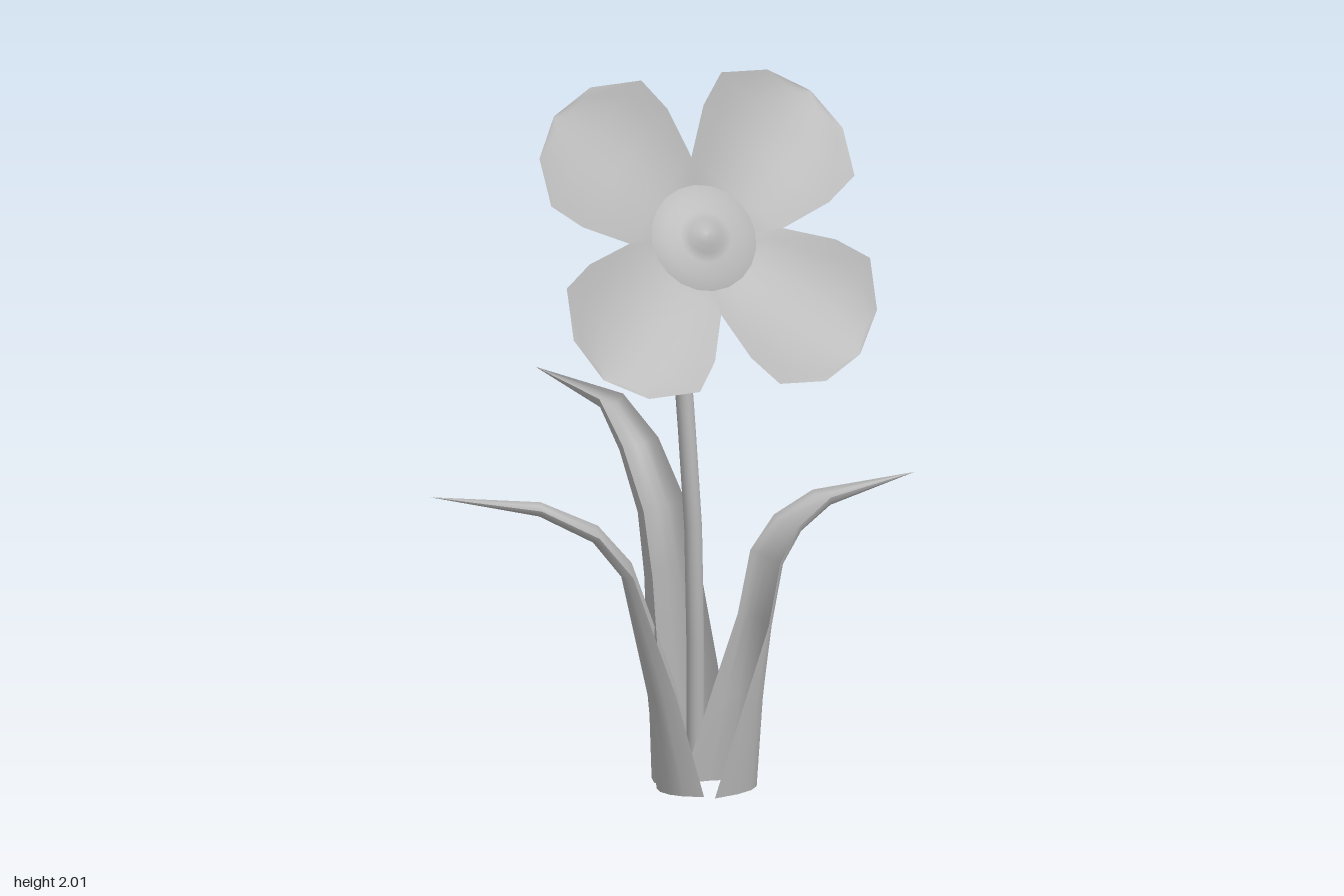
import * as THREE from 'three';

const grey = new THREE.MeshStandardMaterial({ color: 0xb0b0b0, side: THREE.DoubleSide });
grey.name = 'plain grey';

// Skin a smooth surface through equal-length rows of points
function skin(name, rows, closed = false) {
  const n = rows[0].length, index = [];
  for (let i = 0; i < rows.length - 1; i++) {
    for (let j = 0; j < (closed ? n : n - 1); j++) {
      const k = (j + 1) % n;
      const a = i * n + j, b = i * n + k, c = a + n, d = b + n;
      index.push(a, b, d, a, d, c);
    }
  }
  const geometry = new THREE.BufferGeometry().setFromPoints(rows.flat());
  geometry.setIndex(index);
  geometry.computeVertexNormals();
  const mesh = new THREE.Mesh(geometry, grey);
  mesh.name = name;
  return mesh;
}

// Round rings in the x = 0.035 plane: [y, z, radius, angle of ring axis above +z]
function ringRows(rings, sides) {
  return rings.map(([y, z, r, deg]) => {
    const a = THREE.MathUtils.degToRad(deg);
    return Array.from({ length: sides }, (_, j) => {
      const t = (j / sides) * Math.PI * 2, up = r * Math.sin(t);
      return new THREE.Vector3(0.035 + r * Math.cos(t), y + up * Math.cos(a), z - up * Math.sin(a));
    });
  });
}

// Channelled leaf: spine rows [distance outward, height, half width, channel depth]
function leaf(name, base, tip, spine) {
  const dir = new THREE.Vector2(tip[0] - base[0], tip[1] - base[1]).normalize();
  const rows = spine.map(([s, y, half, depth], i) => {
    const p = spine[Math.max(i - 1, 0)], q = spine[Math.min(i + 1, spine.length - 1)];
    const normal = i === 0 ? new THREE.Vector2(-1, 0) : new THREE.Vector2(p[1] - q[1], q[0] - p[0]).normalize();
    return Array.from({ length: 9 }, (_, j) => {
      const t = j / 4 - 1, lift = depth * t * t;
      const out = s + normal.x * lift, side = half * Math.sin(t * Math.PI / 2);
      return new THREE.Vector3(
        base[0] + dir.x * out - dir.y * side,
        y + normal.y * lift,
        base[1] + dir.y * out + dir.x * side);
    });
  });
  return skin(name, rows);
}

// Petal lying along +x, cupped towards +z: [distance from centre, half width]
function petal() {
  const outline = [[0, 0], [0.08, 0.08], [0.163, 0.163], [0.3, 0.223], [0.407, 0.237], [0.51, 0.134], [0.545, 0]];
  const rows = outline.map(([u, half]) => Array.from({ length: 9 }, (_, j) => {
    const v = half * (j / 4 - 1);
    const dip = 0.03 * Math.max(0, 1 - u / 0.163);
    return new THREE.Vector3(u, v, 0.07 * u + 0.75 * v * v - dip);
  }));
  return skin('petal', rows);
}

export function createModel() {
  const model = new THREE.Group();
  model.name = 'flower';

  // Stem, bending over at the top and flaring into the back of the bloom
  model.add(skin('stem', ringRows([
    [0, 0.145, 0.025, 90], [0.4, 0.142, 0.025, 93], [0.73, 0.125, 0.025, 98],
    [1.0, 0.076, 0.025, 101], [1.24, 0.027, 0.025, 98], [1.32, 0.022, 0.025, 90],
    [1.39, 0.032, 0.028, 68], [1.46, 0.085, 0.036, 50], [1.525, 0.14, 0.052, 42],
    [1.56, 0.17, 0.085, 34], [1.583, 0.203, 0.155, 30]
  ], 16), true));

  // Bloom, tilted to look slightly upwards
  const bloom = new THREE.Group();
  bloom.name = 'bloom';
  bloom.position.set(0.035, 1.583, 0.2);
  bloom.rotation.x = -Math.PI / 6;
  for (let i = 0; i < 4; i++) {
    const p = petal();
    p.rotation.z = Math.PI / 4 + i * Math.PI / 2;
    bloom.add(p);
  }

  // Round centre with a small raised button
  const profile = [[0, 0.048], [0.03, 0.044], [0.05, 0.03], [0.075, 0.026], [0.12, 0.021], [0.155, 0.01]]
    .map(([r, h]) => new THREE.Vector2(r, h)).reverse();
  const centre = new THREE.Mesh(new THREE.LatheGeometry(profile, 20), grey);
  centre.name = 'flowerCentre';
  centre.rotation.x = Math.PI / 2;
  bloom.add(centre);
  model.add(bloom);

  // Three leaves wrapped around the foot of the stem
  model.add(leaf('leftLeaf', [0.175, 0.235], [0.69, 0.15], [
    [0, 0, 0.09, 0.18], [0.015, 0.25, 0.088, 0.1], [0.028, 0.47, 0.085, 0.03], [0.065, 0.64, 0.083, 0.03],
    [0.13, 0.72, 0.072, 0.035], [0.23, 0.775, 0.05, 0.035], [0.522, 0.83, 0, 0]
  ]));
  model.add(leaf('backLeaf', [0, 0.02], [-0.2, -0.49], [
    [0, 0, 0.13, 0.13], [0.025, 0.3, 0.11, 0.11], [0.05, 0.57, 0.09, 0.085], [0.08, 0.74, 0.08, 0.07],
    [0.16, 0.9, 0.068, 0.055], [0.25, 1.0, 0.045, 0.04], [0.548, 1.06, 0, 0]
  ]));
  model.add(leaf('rightLeaf', [-0.1, 0.19], [-0.7, -0.02], [
    [0, 0, 0.1, 0.13], [0.025, 0.27, 0.092, 0.08], [0.1, 0.62, 0.085, 0.035],
    [0.18, 0.72, 0.07, 0.03], [0.33, 0.795, 0.05, 0.025], [0.636, 0.85, 0, 0]
  ]));
  return model;
}
